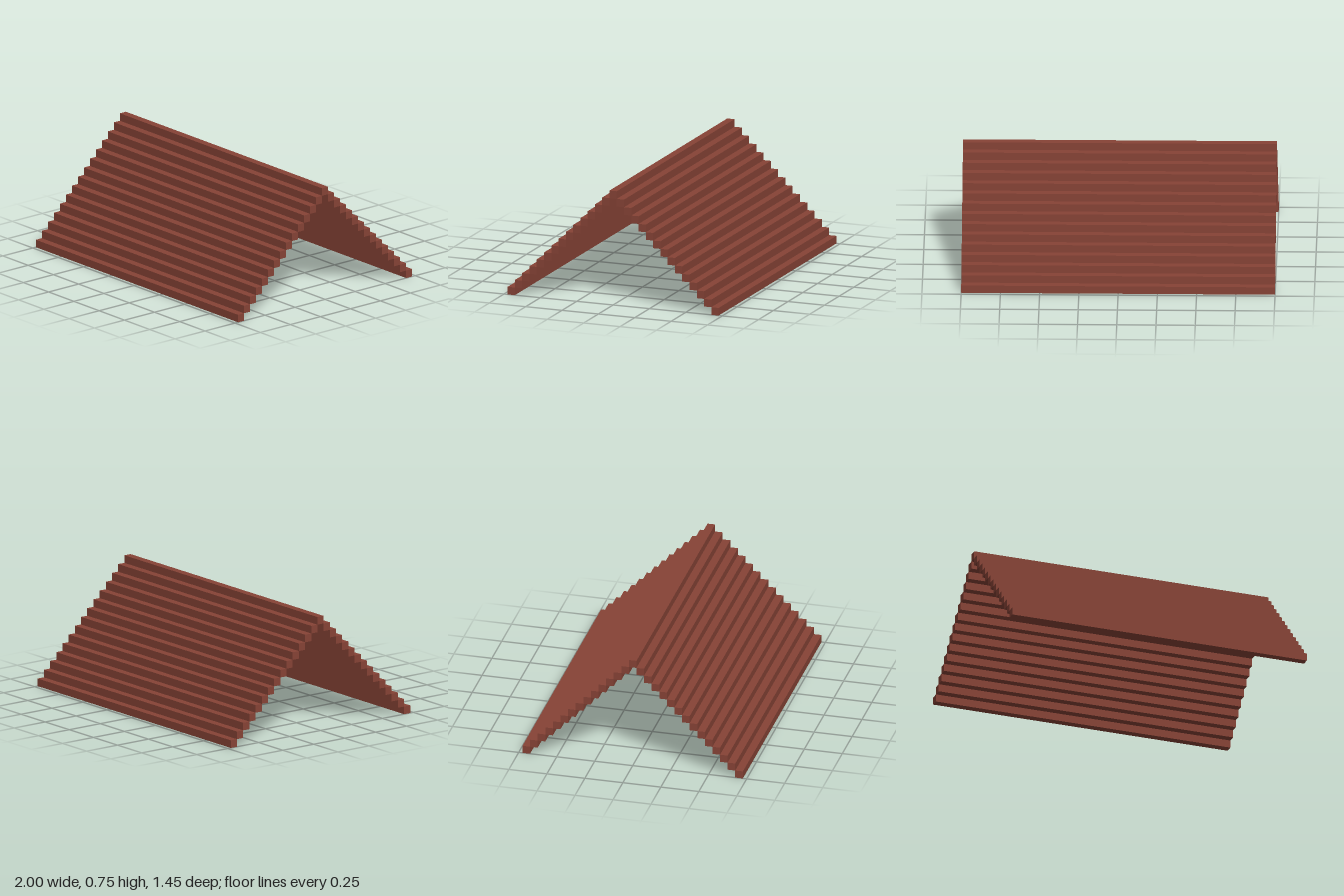
import * as THREE from 'three';

const STEP = 0.05; // beam thickness, also the rise and run of each course
const COURSES = 14; // beams on each slope below the ridge
const LENGTH = 2;

export function createModel() {
  const roof = new THREE.Group();
  roof.name = 'gableRoof';

  const brickRed = new THREE.MeshStandardMaterial({ color: 0x874336 });
  brickRed.name = 'brickRed';
  const beamGeometry = new THREE.BoxGeometry(LENGTH, STEP, STEP);

  function addBeam(parent, name, y, z) {
    const beam = new THREE.Mesh(beamGeometry, brickRed);
    beam.name = name;
    beam.position.set(0, y, z);
    parent.add(beam);
  }

  // Front and back slopes, stepping up towards the ridge
  for (const side of [1, -1]) {
    const slope = new THREE.Group();
    slope.name = side > 0 ? 'frontSlope' : 'backSlope';
    for (let i = 0; i < COURSES; i++) {
      addBeam(slope, `roofBeam${i + 1}`, (i + 0.5) * STEP, side * (COURSES - i) * STEP);
    }
    roof.add(slope);
  }

  // Single beam along the top
  addBeam(roof, 'ridgeBeam', (COURSES + 0.5) * STEP, 0);

  return roof;
}
